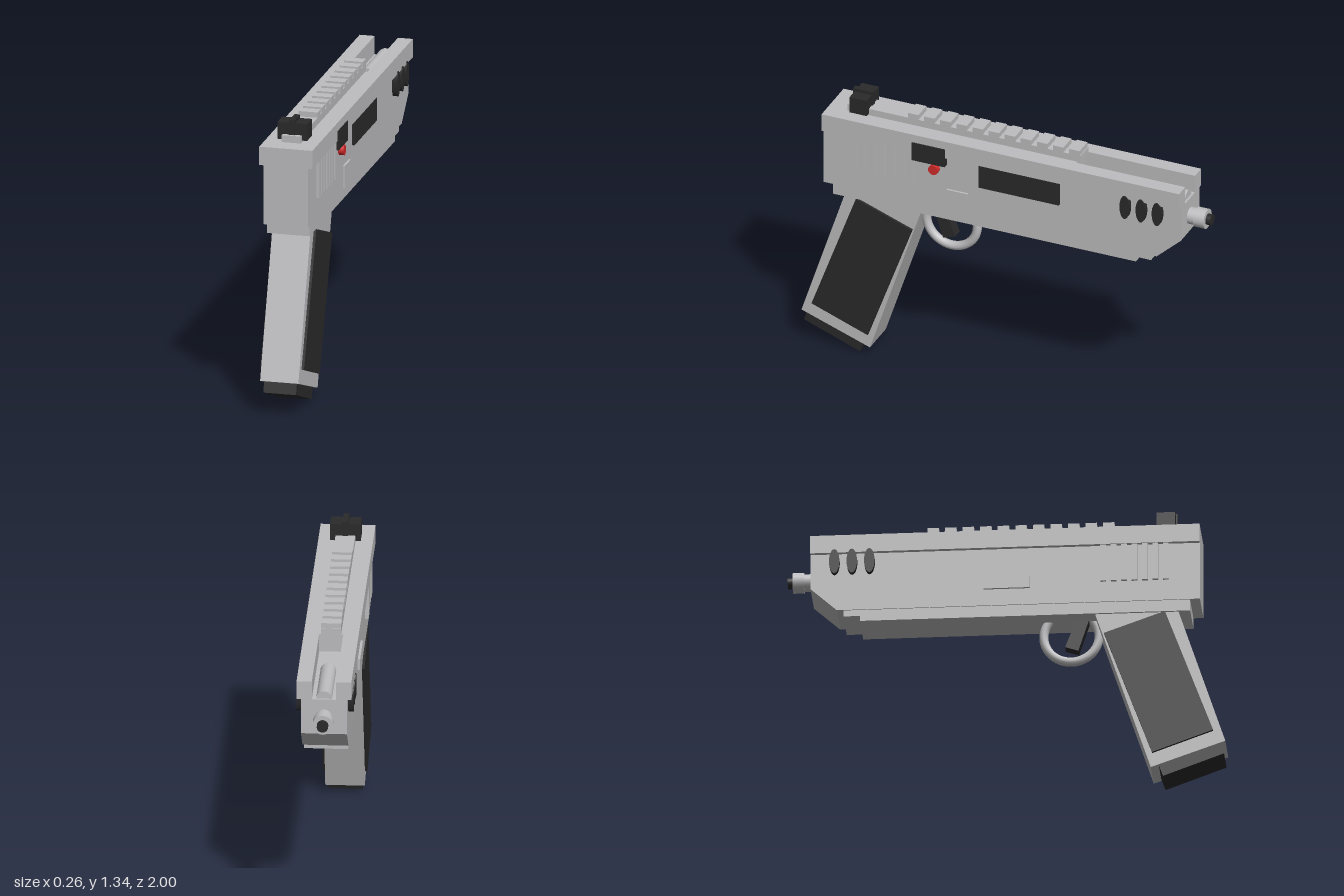
import * as THREE from 'three';

export function createModel() {
  const root = new THREE.Group();
  const mat = (name, color) => Object.assign(new THREE.MeshStandardMaterial({ color }), { name });
  const metal = mat('light metal', 0xbebec0);
  const dark = mat('black polymer', 0x2a2a2a);
  const red = mat('red indicator', 0xd42a2a);

  const add = (name, geo, material) => {
    const m = new THREE.Mesh(geo, material);
    m.name = name;
    root.add(m);
    return m;
  };
  // Box given by its minimum and maximum on each axis
  const block = (name, material, x0, x1, y0, y1, z0, z1) => {
    const m = add(name, new THREE.BoxGeometry(x1 - x0, y1 - y0, z1 - z0), material);
    m.position.set((x0 + x1) / 2, (y0 + y1) / 2, (z0 + z1) / 2);
    return m;
  };
  // Side profile of [z, y] points, extruded across x
  const profile = (name, material, points, halfWidth) => {
    const shape = new THREE.Shape(points.map(([z, y]) => new THREE.Vector2(z, y)));
    const geo = new THREE.ExtrudeGeometry(shape, { depth: halfWidth * 2, bevelEnabled: false });
    geo.translate(0, 0, -halfWidth).rotateY(-Math.PI / 2);
    return add(name, geo, material);
  };
  // Cylinder lying along z
  const rod = (name, material, r, y, z0, z1) => {
    const geo = new THREE.CylinderGeometry(r, r, z1 - z0, 24).rotateX(Math.PI / 2);
    add(name, geo, material).position.set(0, y, (z0 + z1) / 2);
  };

  // Slide with chamfered nose, and the frame beneath it
  profile('slide', metal, [[0.885, 0.87], [0.885, 1.15], [-0.89, 1.15], [-0.89, 0.98], [-0.77, 0.87]], 0.105);
  profile('frame', metal, [[0.84, 0.815], [0.84, 0.87], [-0.74, 0.87], [-0.74, 0.84], [-0.665, 0.84], [-0.665, 0.815]], 0.1);

  // Wider cap, open at the nose to form a channel
  block('slideCap', metal, -0.125, 0.125, 1.15, 1.237, -0.35, 0.885);
  for (const s of [-1, 1]) {
    const m = block('channelWall', metal, 0.055, 0.125, 1.15, 1.237, -0.89, -0.35);
    m.position.x *= s;
  }
  rod('channelRod', metal, 0.036, 1.15, -0.88, -0.56);

  // Muzzle
  rod('barrel', metal, 0.04, 1.06, -0.95, -0.88);
  rod('muzzleCollar', metal, 0.047, 1.06, -0.977, -0.925);
  rod('muzzleTip', dark, 0.026, 1.06, -1, -0.97);

  // Top rail with teeth
  block('railBase', metal, -0.045, 0.045, 1.235, 1.27, -0.365, 0.79);
  for (let i = 0; i < 11; i++) {
    const z = 0.465 - i * 0.08;
    block('railTooth', metal, -0.045, 0.045, 1.27, 1.295, z - 0.026, z + 0.026);
  }

  // Rear sight
  block('rearSight', dark, -0.07, 0.07, 1.245, 1.325, 0.685, 0.77);
  block('rearSightPost', dark, -0.013, 0.013, 1.25, 1.34, 0.68, 0.777);

  // Grip serrations and oval vents on both sides
  for (const s of [-1, 1]) {
    for (let i = 0; i < 7; i++) {
      const z = 0.73 - i * 0.0475;
      const bar = block('serration', metal, 0.1, 0.12, 0.97, 1.15, z - 0.013, z + 0.013);
      bar.position.x *= s;
    }
    for (let i = 0; i < 3; i++) {
      const geo = new THREE.CylinderGeometry(1, 1, 0.03, 24).rotateZ(Math.PI / 2);
      geo.scale(1, 0.06, 0.024);
      add('ovalVent', geo, dark).position.set(s * 0.115, 1.105, -0.62 - i * 0.08);
    }
  }

  // Details on the left flank
  block('ejectionPort', dark, 0.1, 0.117, 1.03, 1.147, -0.29, 0.11);
  block('safetyPlate', dark, 0.1, 0.13, 1.105, 1.197, 0.272, 0.436);
  block('takedownPlate', metal, 0.1, 0.115, 0.872, 0.98, 0.165, 0.27);
  const dot = new THREE.CylinderGeometry(0.024, 0.024, 0.03, 24).rotateZ(Math.PI / 2);
  add('indicatorDot', dot, red).position.set(0.115, 1.075, 0.33);

  // Release bar on the right flank
  block('releaseBar', metal, -0.116, -0.1, 0.95, 1.005, -0.1, 0.11);

  // Raked grip with side panels and magazine base
  profile('grip', metal, [[0.785, 0.82], [0.405, 0.82], [0.66, 0.04], [1.0, 0.16]], 0.09);
  profile('gripPanels', dark, [[0.725, 0.815], [0.447, 0.715], [0.667, 0.11], [0.945, 0.212]], 0.102);
  profile('magazineBase', dark, [[0.975, 0.16], [0.695, 0.055], [0.715, 0], [0.993, 0.103]], 0.077);

  // Trigger and guard
  const ring = new THREE.TorusGeometry(0.126, 0.021, 12, 48).rotateY(Math.PI / 2);
  add('triggerGuard', ring, metal).position.set(0, 0.747, 0.292);
  profile('trigger', dark, [[0.375, 0.82], [0.315, 0.82], [0.265, 0.685], [0.325, 0.665]], 0.026);

  return root;
}
